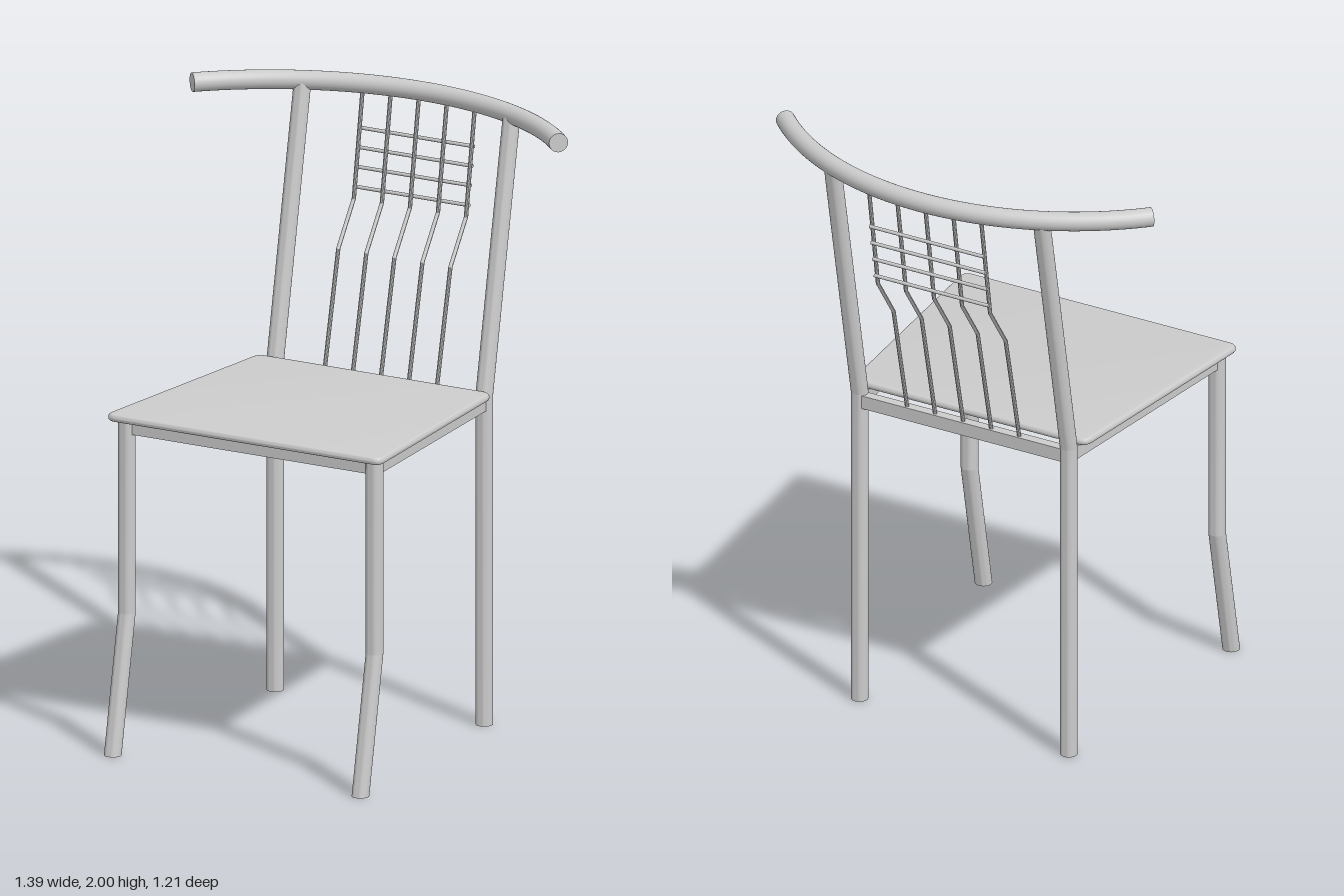
import * as THREE from 'three';
import { mergeGeometries, toCreasedNormals } from 'three/addons/utils/BufferGeometryUtils.js';

const grey = new THREE.MeshStandardMaterial({ color: 0xcccccc });

// Bent rod in a plane of constant x; path is a list of [y, z], joints are cut level
function bentRod(path, radius, sides) {
  const parts = [];
  for (let i = 0; i < path.length - 1; i++) {
    const [y0, z0] = path[i], [y1, z1] = path[i + 1];
    const g = new THREE.CylinderGeometry(radius, radius, 1, sides, 1);
    const p = g.attributes.position;
    for (let k = 0; k < p.count; k++) {
      const t = p.getY(k) + 0.5;
      p.setY(k, y0 + (y1 - y0) * t);
      p.setZ(k, p.getZ(k) + z0 + (z1 - z0) * t);
    }
    parts.push(toCreasedNormals(g, 0.6));
  }
  return mergeGeometries(parts);
}

// Flat frame bar between two points on the floor plan
function frameBar(x0, z0, x1, z1) {
  const dx = x1 - x0, dz = z1 - z0;
  const g = new THREE.BoxGeometry(Math.hypot(dx, dz), 0.045, 0.033);
  g.rotateY(-Math.atan2(dz, dx));
  g.translate((x0 + x1) / 2, 1.064, (z0 + z1) / 2);
  return g;
}

// Trapezoid outline with rounded corners
function roundedOutline(corners, r) {
  const pts = corners.map(c => new THREE.Vector2(...c));
  const shape = new THREE.Shape();
  pts.forEach((c, i) => {
    const prev = pts[(i + 3) % 4], next = pts[(i + 1) % 4];
    const a = c.clone().add(prev.clone().sub(c).setLength(r));
    const b = c.clone().add(next.clone().sub(c).setLength(r));
    if (i) shape.lineTo(a.x, a.y); else shape.moveTo(a.x, a.y);
    shape.quadraticCurveTo(c.x, c.y, b.x, b.y);
  });
  shape.closePath();
  return shape;
}

export function createModel() {
  const chair = new THREE.Group();
  const add = (name, geometry, x = 0) => {
    const mesh = new THREE.Mesh(geometry, grey);
    mesh.name = name;
    mesh.position.x = x;
    chair.add(mesh);
  };

  // Seat panel with softened edges
  const bevel = 0.01;
  const outline = roundedOutline([[-0.496, 0.533], [0.496, 0.533], [0.422, -0.278], [-0.422, -0.278]], 0.025);
  const seat = new THREE.ExtrudeGeometry(outline, {
    depth: 0.004, bevelEnabled: true, bevelSize: bevel, bevelThickness: bevel, bevelSegments: 4, curveSegments: 6,
  });
  seat.rotateX(Math.PI / 2);
  seat.translate(0, 1.1, 0);
  add('seat', toCreasedNormals(seat, 0.6));

  // Legs and the frame under the seat
  const frontPath = [[0, 0.578], [0.45, 0.49], [1.088, 0.49]];
  const backPath = [[0, -0.317], [1.09, -0.317], [1.97, -0.488]];
  for (const [side, s] of [['left', 1], ['right', -1]]) {
    add(side + 'FrontLeg', bentRod(frontPath, 0.028, 24), s * 0.455);
    add(side + 'BackLeg', bentRod(backPath, 0.028, 24), s * 0.384);
    add(side + 'FrameBar', frameBar(s * 0.384, -0.317, s * 0.455, 0.49));
  }
  add('frontFrameBar', frameBar(-0.455, 0.485, 0.455, 0.485));
  add('backFrameBar', frameBar(-0.384, -0.321, 0.384, -0.321));

  // Curved top rail with flat ends
  const R = 0.942, r = 0.031, half = 0.796, y = 1.969, zc = 0.37;
  const rail = new THREE.TorusGeometry(R, r, 24, 64, half * 2);
  rail.rotateZ(Math.PI / 2 - half);
  rail.rotateX(-Math.PI / 2);
  rail.translate(0, y, zc);
  const ends = [1, -1].map(s => {
    const cap = new THREE.CircleGeometry(r, 24);
    cap.rotateY(s * (Math.PI / 2 - half));
    cap.translate(s * R * Math.sin(half), y, zc - R * Math.cos(half));
    return cap;
  });
  add('topRail', mergeGeometries([rail, ...ends]));

  // Upright back wires
  const wirePath = [[1.07, -0.32], [1.46, -0.408], [1.6, -0.505], [1.96, -0.562]];
  for (let i = -2; i <= 2; i++) add('backWire', bentRod(wirePath, 0.007, 10), i * 0.103);

  // Cross wires behind the uprights
  for (const h of [1.635, 1.698, 1.76, 1.822]) {
    const g = new THREE.CylinderGeometry(0.006, 0.006, 0.42, 10);
    g.rotateZ(Math.PI / 2);
    g.translate(0, h, -0.505 - (h - 1.6) * 0.158 - 0.01);
    add('crossWire', g);
  }
  return chair;
}
